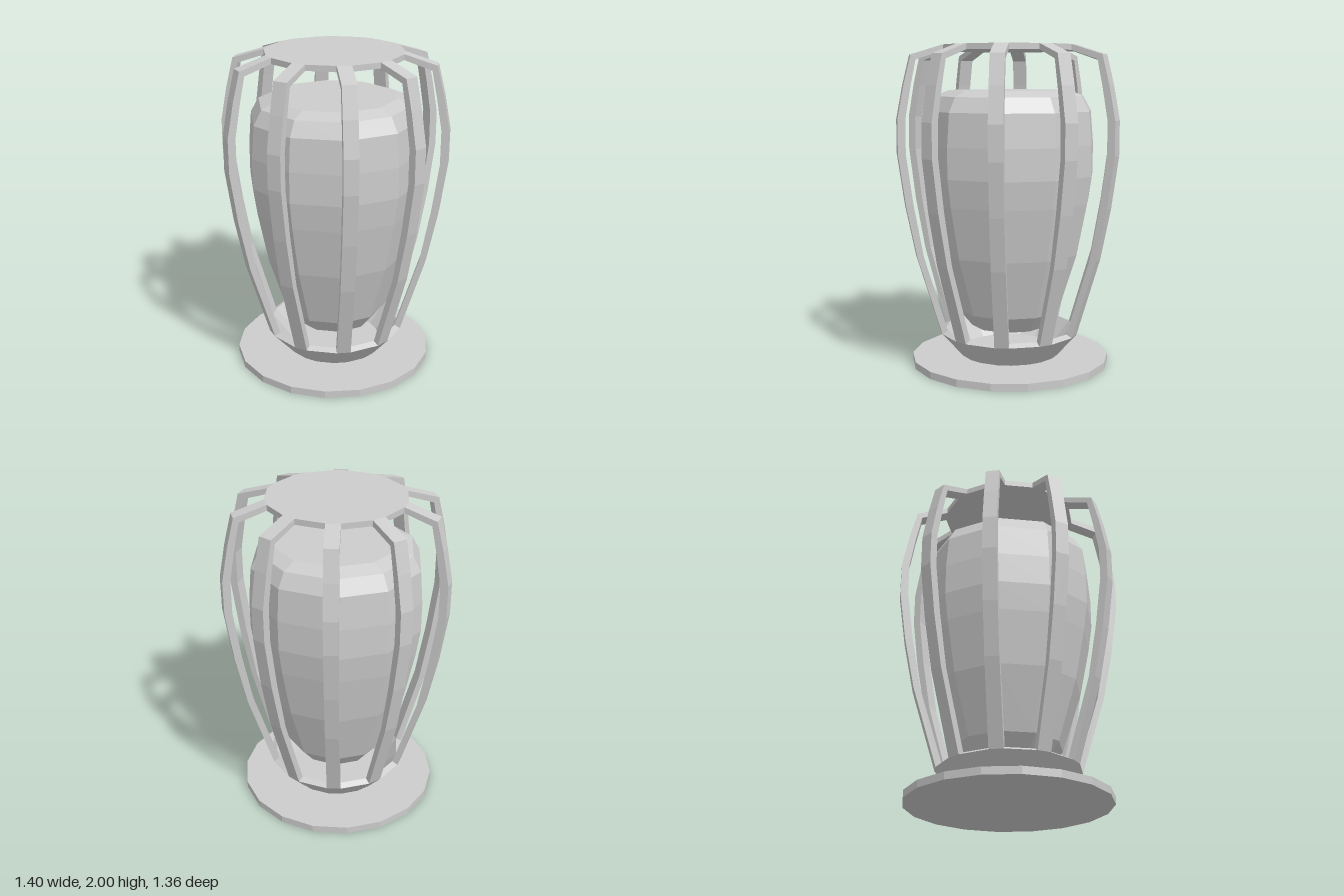
import * as THREE from 'three';

const COUNT = 10;          // bars around the cage
const HALF = 0.043;        // half the width of a bar
const STEP = (Math.PI * 2) / COUNT;

const material = new THREE.MeshStandardMaterial({ color: 0xcccccc, flatShading: true });

function part(name, geometry) {
  const mesh = new THREE.Mesh(geometry, material);
  mesh.name = name;
  return mesh;
}

// Ring of 20 points: short sides where the bars join, long sides between them
function ring([radius, y]) {
  const points = [];
  const w = Math.min(HALF, radius * 0.14);
  for (let i = 0; i < COUNT; i++) {
    for (const side of [-w, w]) {
      const c = Math.cos(i * STEP), s = Math.sin(i * STEP);
      points.push([radius * c - side * s, y, -(radius * s + side * c)]);
    }
  }
  return points;
}

// Skin between successive rings; profile runs up the outside
function loftRings(profile) {
  const rings = profile.map(ring);
  const positions = [];
  for (let j = 0; j < rings.length - 1; j++) {
    const n = rings[j].length;
    for (let i = 0; i < n; i++) {
      const k = (i + 1) % n;
      const a = rings[j][i], b = rings[j][k], c = rings[j + 1][k], d = rings[j + 1][i];
      positions.push(...a, ...b, ...c, ...a, ...c, ...d);
    }
  }
  const geometry = new THREE.BufferGeometry();
  geometry.setAttribute('position', new THREE.Float32BufferAttribute(positions, 3));
  geometry.computeVertexNormals();
  return geometry;
}

export function createModel() {
  const model = new THREE.Group();
  model.name = 'cagedLantern';

  // Flat foot plate
  const plate = part('footPlate', new THREE.CylinderGeometry(0.625, 0.625, 0.045, 18, 1, false, Math.PI / 2));
  plate.position.set(-0.006, 0.0225, -0.006);
  model.add(plate);

  // Shallow hollow cup that holds the bars
  model.add(part('cup', loftRings([
    [0, 0.058], [0.31, 0.058], [0.44, 0.205], [0.405, 0.225], [0.29, 0.085], [0, 0.085],
  ])));

  // Ten-sided inner body, corners in line with the bars
  const bodyProfile = [
    [0, 0.245], [0.245, 0.245], [0.33, 0.35], [0.45, 0.72], [0.515, 1.04], [0.54, 1.21],
    [0.54, 1.4], [0.523, 1.6], [0.473, 1.69], [0.385, 1.725], [0, 1.725],
  ].map(([x, y]) => new THREE.Vector2(x, y));
  model.add(part('innerBody', new THREE.LatheGeometry(bodyProfile, COUNT, Math.PI / 2)));

  // Top cap
  model.add(part('topCap', loftRings([[0, 1.965], [0.42, 1.965], [0.42, 2], [0, 2]])));

  // Curved bars, one outline repeated around the axis
  const outer = [[0.42, 2], [0.615, 1.94], [0.66, 1.76], [0.7, 1.55], [0.7, 1.34], [0.655, 1.02], [0.59, 0.7], [0.44, 0.205]];
  const inner = [[0.405, 0.225], [0.55, 0.7], [0.61, 1.03], [0.652, 1.34], [0.652, 1.55], [0.618, 1.75], [0.585, 1.91], [0.42, 1.965]];
  const outline = new THREE.Shape([...outer, ...inner].map(([x, y]) => new THREE.Vector2(x, y)));
  const barGeometry = new THREE.ExtrudeGeometry(outline, { depth: HALF * 2, bevelEnabled: false });
  barGeometry.translate(0, 0, -HALF);
  const bars = new THREE.Group();
  bars.name = 'cageBars';
  for (let i = 0; i < COUNT; i++) {
    const bar = part('cageBar', barGeometry);
    bar.rotation.y = i * STEP;
    bars.add(bar);
  }
  model.add(bars);

  return model;
}
